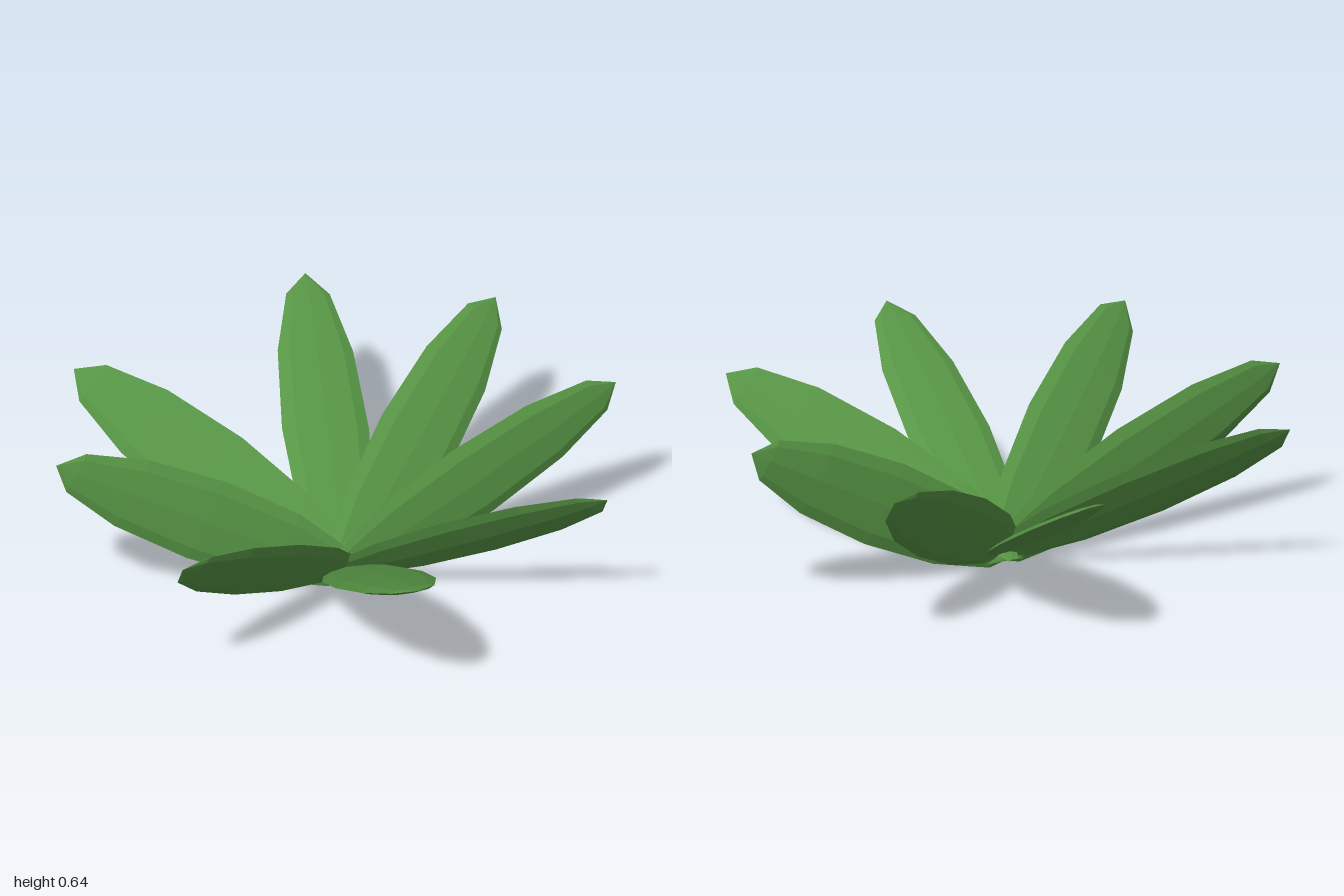
import * as THREE from 'three';

// Leaf tips on the ground plane (x, z), counted round the rosette
const TIPS = [
  [-0.05, 0.99], [0.74, 0.655], [0.99, -0.03], [0.757, -0.655],
  [0.18, -0.995], [-0.757, -0.675], [-0.997, -0.125], [-0.78, 0.62],
];
const TIP_Y = 0.61;
const BASE_Y = 0.03;
const OVERLAP = 0.05; // each leaf starts slightly past the centre
const HALF_WIDTH = 0.155;
const HALF_THICKNESS = 0.023;

export function createModel() {
  const leafGreen = new THREE.MeshStandardMaterial({ color: 0x579545, flatShading: true });
  leafGreen.name = 'leafGreen';

  const plant = new THREE.Group();
  plant.name = 'leafRosette';

  // Low-poly ellipsoid blade, one unit of half-length along y
  const blade = new THREE.SphereGeometry(1, 8, 6);
  const up = new THREE.Vector3(0, 1, 0);

  TIPS.forEach(([x, z], i) => {
    const tip = new THREE.Vector3(x, TIP_Y, z);
    const base = new THREE.Vector3(x, 0, z).setLength(OVERLAP).negate();
    base.y = BASE_Y;
    const axis = tip.clone().sub(base);

    const leaf = new THREE.Mesh(blade, leafGreen);
    leaf.name = `leaf${i + 1}`;
    leaf.scale.set(HALF_WIDTH, axis.length() / 2, HALF_THICKNESS);
    leaf.position.copy(base).add(tip).multiplyScalar(0.5);
    // Shortest turn from upright keeps the natural twist of each blade
    leaf.quaternion.setFromUnitVectors(up, axis.normalize());
    plant.add(leaf);
  });

  return plant;
}
